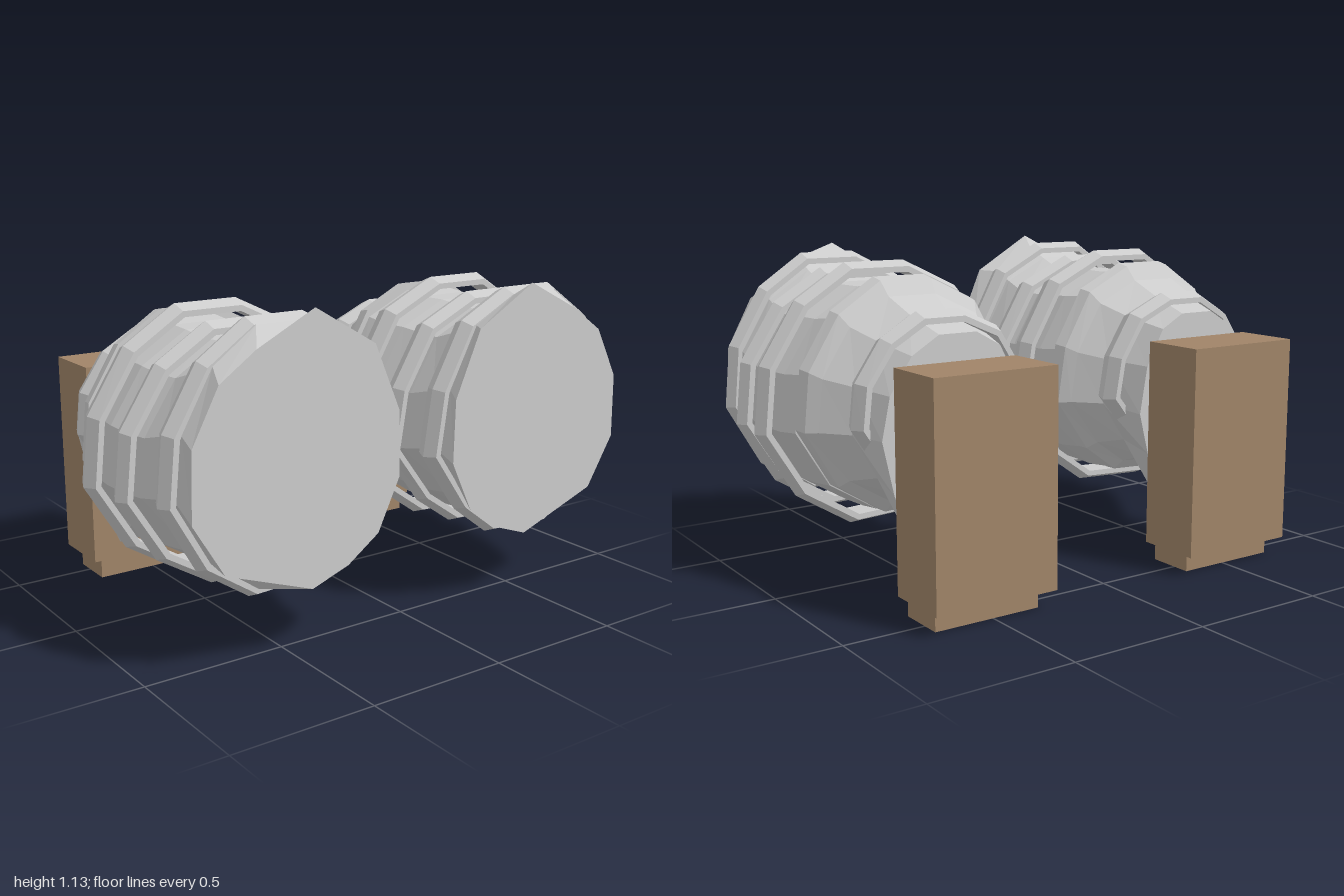
import * as THREE from 'three';

const GREY = new THREE.MeshStandardMaterial({ color: 0xcccccc, flatShading: true });
const WOOD = new THREE.MeshStandardMaterial({ color: 0xa08468, flatShading: true });

// Faceted twelve-sided outline in a -1..1 box, anticlockwise from the outer side
const OUTLINE = [[1, -0.22], [0.95, 0.28], [0.67, 0.74], [0.28, 1], [-0.2, 1], [-0.64, 0.78],
  [-0.92, 0.28], [-1, -0.24], [-0.66, -0.72], [-0.32, -0.97], [0.28, -1], [0.71, -0.72]];
// Peaked outline of the open end
const MOUTH = [[0.89, 0.53], [0.885, 0.76], [0.79, 0.94], [0.66, 1.03], [0.45, 1.135], [0.22, 1],
  [0.12, 0.77], [0.115, 0.55], [0.2, 0.37], [0.32, 0.285], [0.46, 0.235], [0.78, 0.35]];
// Narrow end whose underside flares downward
const NECK = [[0.79, 0.58], [0.76, 0.72], [0.68, 0.84], [0.58, 0.9], [0.44, 0.9], [0.35, 0.85],
  [0.28, 0.72], [0.25, 0.55], [0.29, 0.4], [0.4, 0.13], [0.64, 0.13], [0.75, 0.4]];

const at = (outline, z) => outline.map(([x, y]) => [x, y, z]);

// Outline fitted to x0..x1 and y0..y1 at depth z
function section(z, x0, x1, y0, y1) {
  return OUTLINE.map(([u, v]) => [
    (x0 + x1) / 2 + u * (x1 - x0) / 2, (y0 + y1) / 2 + v * (y1 - y0) / 2, z]);
}

// Skin a row of sections running front to back; side -1 mirrors it
function loft(name, sections, side, capped) {
  const rows = sections.map(s => {
    const r = s.map(([x, y, z]) => [x * side, y, z]);
    return side < 0 ? r.reverse() : r;
  });
  const n = rows[0].length, pos = rows.flat(2), index = [];
  for (let j = 0; j < rows.length - 1; j++) {
    for (let i = 0; i < n; i++) {
      const a = j * n + i, b = j * n + (i + 1) % n;
      index.push(a, a + n, b, b, a + n, b + n);
    }
  }
  if (capped) {
    const last = (rows.length - 1) * n;
    for (let i = 1; i < n - 1; i++) {
      index.push(0, i, i + 1, last, last + i + 1, last + i);
    }
  }
  const geo = new THREE.BufferGeometry();
  geo.setAttribute('position', new THREE.Float32BufferAttribute(pos, 3));
  geo.setIndex(index);
  const flat = geo.toNonIndexed();
  flat.computeVertexNormals();
  const mesh = new THREE.Mesh(flat, GREY);
  mesh.name = name;
  return mesh;
}

// Thin bevelled hoop, loose around the sleeve
function hoop(name, [zf, zb, x0, x1, y0, y1], side) {
  const cut = (z, d) => section(z, x0 + d, x1 - d, y0 + d, y1 - d);
  const rows = [cut(zf, 0.02), cut((zf + zb) / 2, 0), cut(zb, 0.02), cut(zb, 0.04), cut(zf, 0.04)];
  return loft(name, [...rows, rows[0]], side, false);
}

function box(name, x0, x1, y0, y1, z0, z1, side) {
  const mesh = new THREE.Mesh(new THREE.BoxGeometry(x1 - x0, y1 - y0, z1 - z0), WOOD);
  mesh.position.set(side * (x0 + x1) / 2, (y0 + y1) / 2, (z0 + z1) / 2);
  mesh.name = name;
  return mesh;
}

// z, x range, y range of each sleeve section
const BODY = [
  [0.56, 0.12, 0.9, 0.25, 1.09], [0.47, 0.12, 0.91, 0.27, 1.05],
  [0.36, 0.11, 0.92, 0.26, 1.01], [0.27, 0.12, 0.93, 0.25, 1.01],
  [0.17, 0.11, 0.94, 0.25, 1.02], [0.07, 0.1, 0.93, 0.25, 1.02],
  [-0.03, 0.11, 0.92, 0.26, 1.03], [-0.031, 0.1, 0.92, 0.26, 1.06],
  [-0.08, 0.11, 0.91, 0.26, 1.05], [-0.12, 0.14, 0.88, 0.3, 1.0],
  [-0.22, 0.21, 0.81, 0.335, 0.95],
];
// front z, back z, x range, y range of each hoop
const HOOPS = [
  [0.56, 0.47, 0.075, 0.945, 0.215, 1.11],
  [0.36, 0.27, 0.06, 0.985, 0.2, 1.07],
  [0.17, 0.07, 0.04, 1.0, 0.18, 1.1],
  [-0.22, -0.32, 0.17, 0.84, 0.37, 0.965],
];

export function createModel() {
  const model = new THREE.Group();
  model.name = 'pairOfSleeves';
  for (const side of [1, -1]) {
    const arm = new THREE.Group();
    arm.name = side > 0 ? 'leftArm' : 'rightArm';
    // Sleeve from wide mouth to flared neck
    const rows = [at(MOUTH, 0.625), ...BODY.map(b => section(...b)), at(NECK, -0.384)];
    arm.add(loft('sleeve', rows, side, true));
    HOOPS.forEach((h, i) => arm.add(hoop('hoop' + (i + 1), h, side)));
    // Block behind the neck with its small foot
    arm.add(box('block', 0.29, 0.745, 0.07, 0.81, -0.625, -0.384, side));
    arm.add(box('blockFoot', 0.325, 0.715, 0, 0.07, -0.565, -0.395, side));
    model.add(arm);
  }
  return model;
}
